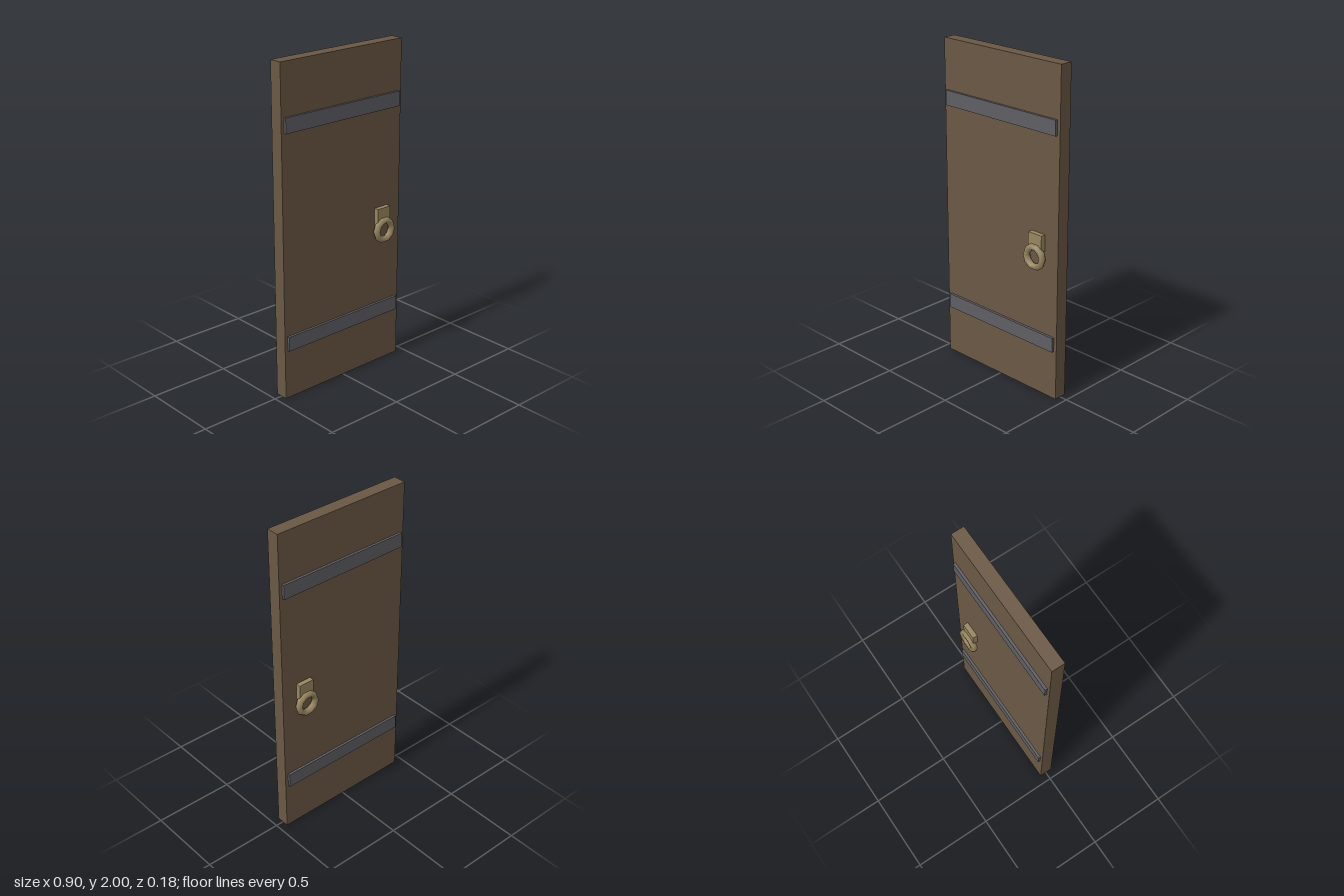
import * as THREE from 'three';

const wood = new THREE.MeshStandardMaterial({ color: 0x6b5844, roughness: 0.9 });
const iron = new THREE.MeshStandardMaterial({ color: 0x5f5e64, roughness: 0.9 });
const brass = new THREE.MeshStandardMaterial({ color: 0x988660, roughness: 0.9 });

export function createModel() {
  const door = new THREE.Group();
  door.name = 'door';

  const add = (name, geometry, material, x, y, z) => {
    const mesh = new THREE.Mesh(geometry, material);
    mesh.name = name;
    mesh.position.set(x, y, z);
    door.add(mesh);
  };

  // Door leaf
  add('panel', new THREE.BoxGeometry(0.9, 2, 0.08), wood, 0, 1, 0);

  // Matching fittings on the front and back faces
  for (const [label, side] of [['front', 1], ['back', -1]]) {
    // Iron straps, lower and upper
    const strap = new THREE.BoxGeometry(0.86, 0.09, 0.015);
    add(`${label}LowerStrap`, strap, iron, 0, 0.35, side * 0.0475);
    add(`${label}UpperStrap`, strap, iron, 0, 1.65, side * 0.0475);

    // Handle mount and hanging ring pull
    add(`${label}HandleMount`, new THREE.BoxGeometry(0.1, 0.1, 0.03), brass, 0.3, 0.96, side * 0.055);
    add(`${label}RingPull`, new THREE.TorusGeometry(0.06, 0.021, 6, 10), brass, 0.3, 0.87, side * 0.072);
  }
  return door;
}
